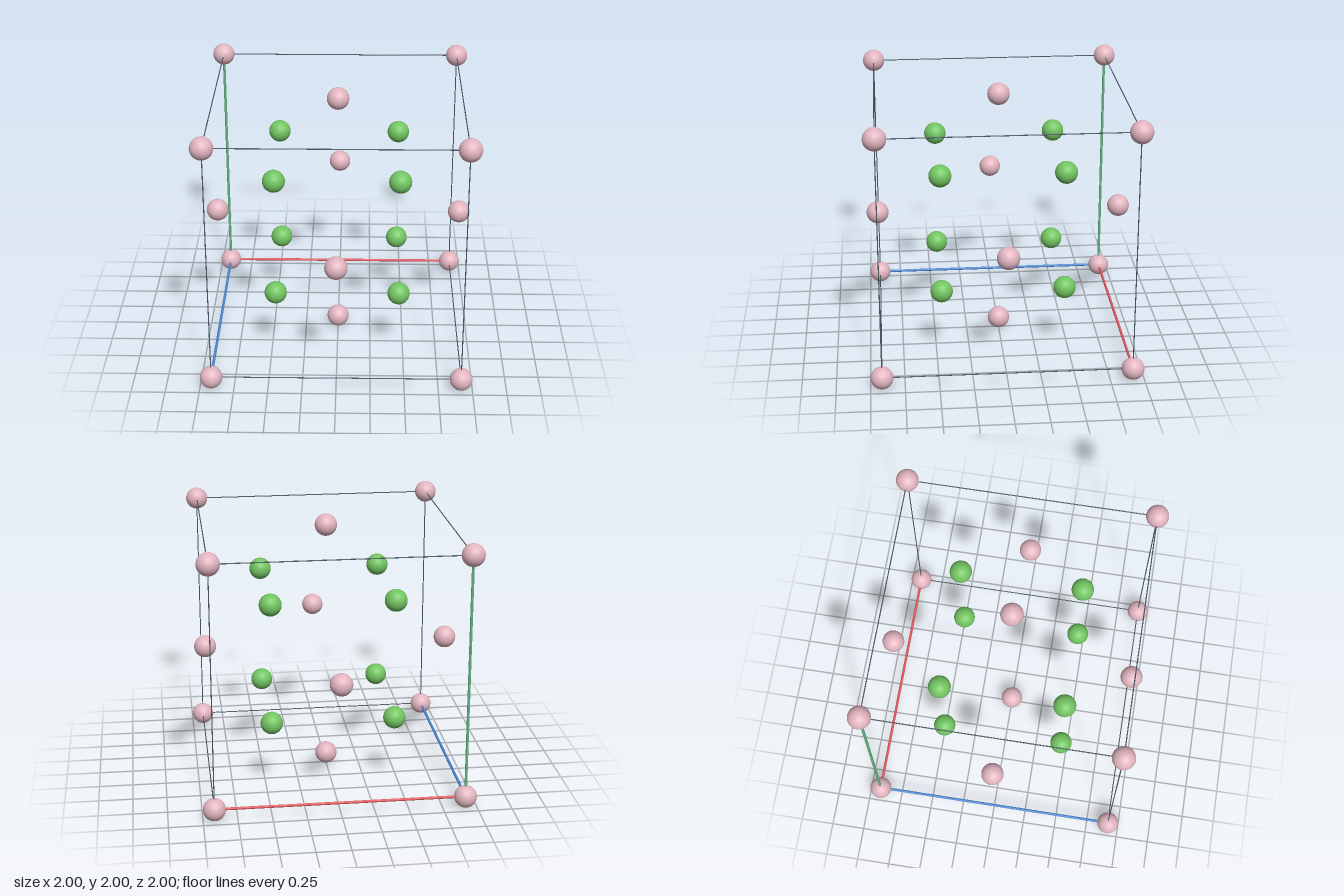
import * as THREE from 'three';

const H = 0.917;      // half the cell size
const R = 0.083;      // ball radius
const EDGE_R = 0.004; // thin cell edge
const AXIS_R = 0.01;  // thick axis edge

function material(name, color) {
  const m = new THREE.MeshStandardMaterial({ color });
  m.name = name;
  return m;
}

export function createModel() {
  const pink = material('dusty pink', 0xe2b5c0);
  const green = material('leaf green', 0x73c562);
  const slate = material('slate', 0x485864);
  const axisMaterials = [
    material('axis red', 0xe0565c),
    material('axis green', 0x62b282),
    material('axis blue', 0x4a88d4),
  ];
  const axisNames = ['xAxisRod', 'yAxisRod', 'zAxisRod'];

  const model = new THREE.Group();
  model.name = 'crystalUnitCell';
  const cell = new THREE.Group();
  cell.name = 'cell';
  cell.position.y = 1;
  model.add(cell);

  const ballGeometry = new THREE.SphereGeometry(R, 40, 28);
  const addBall = (name, mat, x, y, z) => {
    const ball = new THREE.Mesh(ballGeometry, mat);
    ball.name = name;
    ball.position.set(x, y, z);
    cell.add(ball);
  };

  // Pink balls: eight corners and six face centres
  for (const x of [-1, 0, 1]) for (const y of [-1, 0, 1]) for (const z of [-1, 0, 1]) {
    const nonZero = Math.abs(x) + Math.abs(y) + Math.abs(z);
    if (nonZero === 3) addBall('cornerBall', pink, x * H, y * H, z * H);
    if (nonZero === 1) addBall('faceBall', pink, x * H, y * H, z * H);
  }

  // Green balls: centres of the eight octants
  for (const x of [-0.5, 0.5]) for (const y of [-0.5, 0.5]) for (const z of [-0.5, 0.5]) {
    addBall('innerBall', green, x * H, y * H, z * H);
  }

  // Twelve cell edges; the three meeting at the origin corner are thick coloured axes
  const edgeGeometry = new THREE.CylinderGeometry(EDGE_R, EDGE_R, 2 * H, 10);
  const axisGeometry = new THREE.CylinderGeometry(AXIS_R, AXIS_R, 2 * H, 16);
  for (let axis = 0; axis < 3; axis++) {
    for (const a of [-1, 1]) for (const b of [-1, 1]) {
      const isAxis = a < 0 && b < 0;
      const rod = new THREE.Mesh(isAxis ? axisGeometry : edgeGeometry, isAxis ? axisMaterials[axis] : slate);
      rod.name = isAxis ? axisNames[axis] : 'cellEdge';
      rod.position.setComponent((axis + 1) % 3, a * H);
      rod.position.setComponent((axis + 2) % 3, b * H);
      if (axis === 0) rod.rotation.z = Math.PI / 2;
      if (axis === 2) rod.rotation.x = Math.PI / 2;
      cell.add(rod);
    }
  }
  return model;
}
